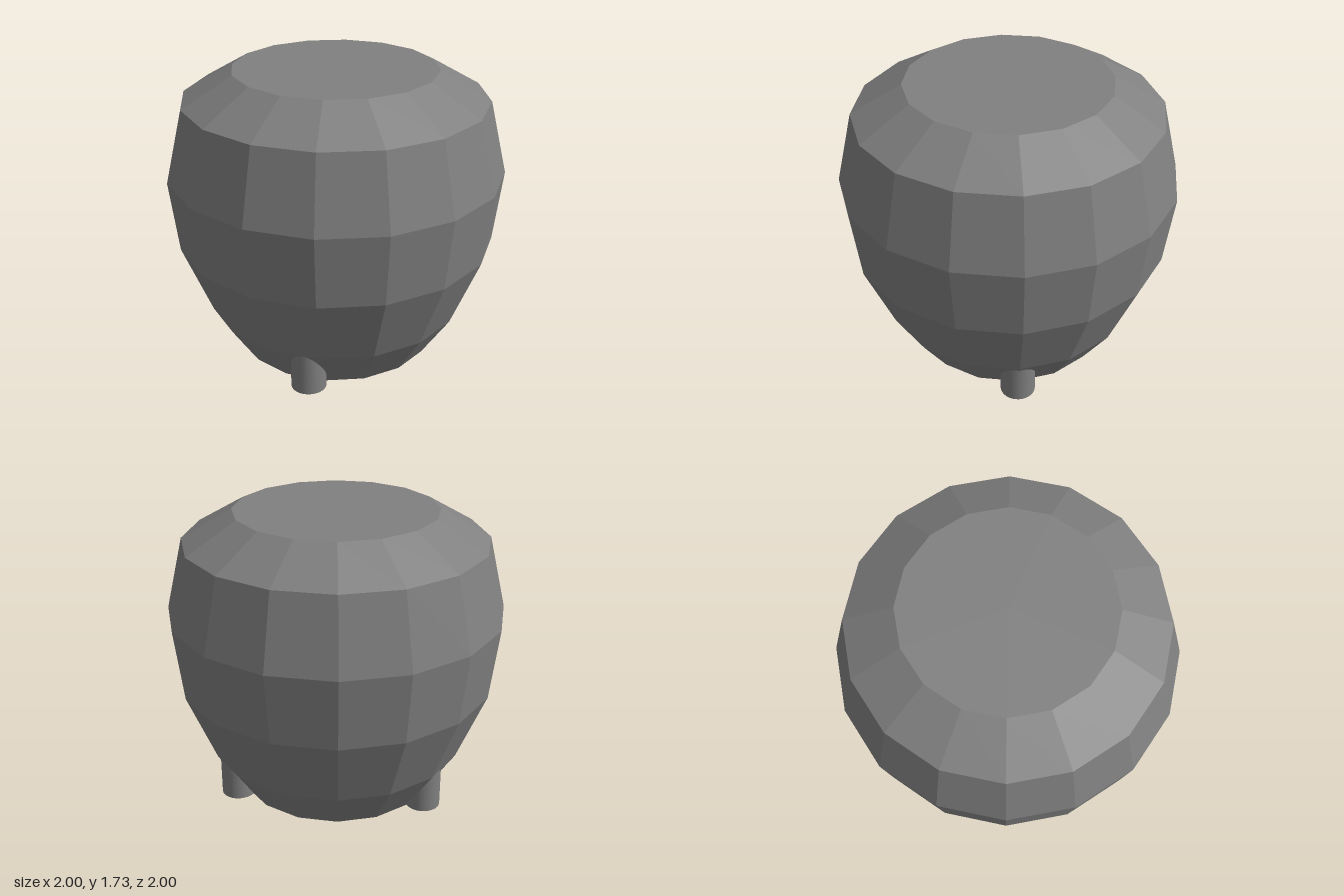
import * as THREE from 'three';

export function createModel() {
  const model = new THREE.Group();
  const color = 0x808080;

  // Faceted pot body, closed at the base and the top
  const profile = [
    [0, 0], [0.603, 0], [0.775, 0.262], [0.949, 0.693],
    [1, 1.123], [0.897, 1.553], [0.6, 1.727], [0, 1.727],
  ].map(([r, y]) => new THREE.Vector2(r, y));
  const body = new THREE.Mesh(
    new THREE.LatheGeometry(profile, 16),
    new THREE.MeshStandardMaterial({ color, flatShading: true })
  );
  body.name = 'potBody';
  model.add(body);

  // Three round feet, their tops buried in the body
  const footRadius = 0.103, footHeight = 0.34, ring = 0.653;
  const footGeometry = new THREE.CylinderGeometry(footRadius, footRadius, footHeight, 32);
  const footMaterial = new THREE.MeshStandardMaterial({ color });
  for (let i = 0; i < 3; i++) {
    const angle = (i * Math.PI * 2) / 3;
    const foot = new THREE.Mesh(footGeometry, footMaterial);
    foot.name = `foot${i + 1}`;
    foot.position.set(ring * Math.cos(angle), footHeight / 2, ring * Math.sin(angle));
    model.add(foot);
  }

  return model;
}
